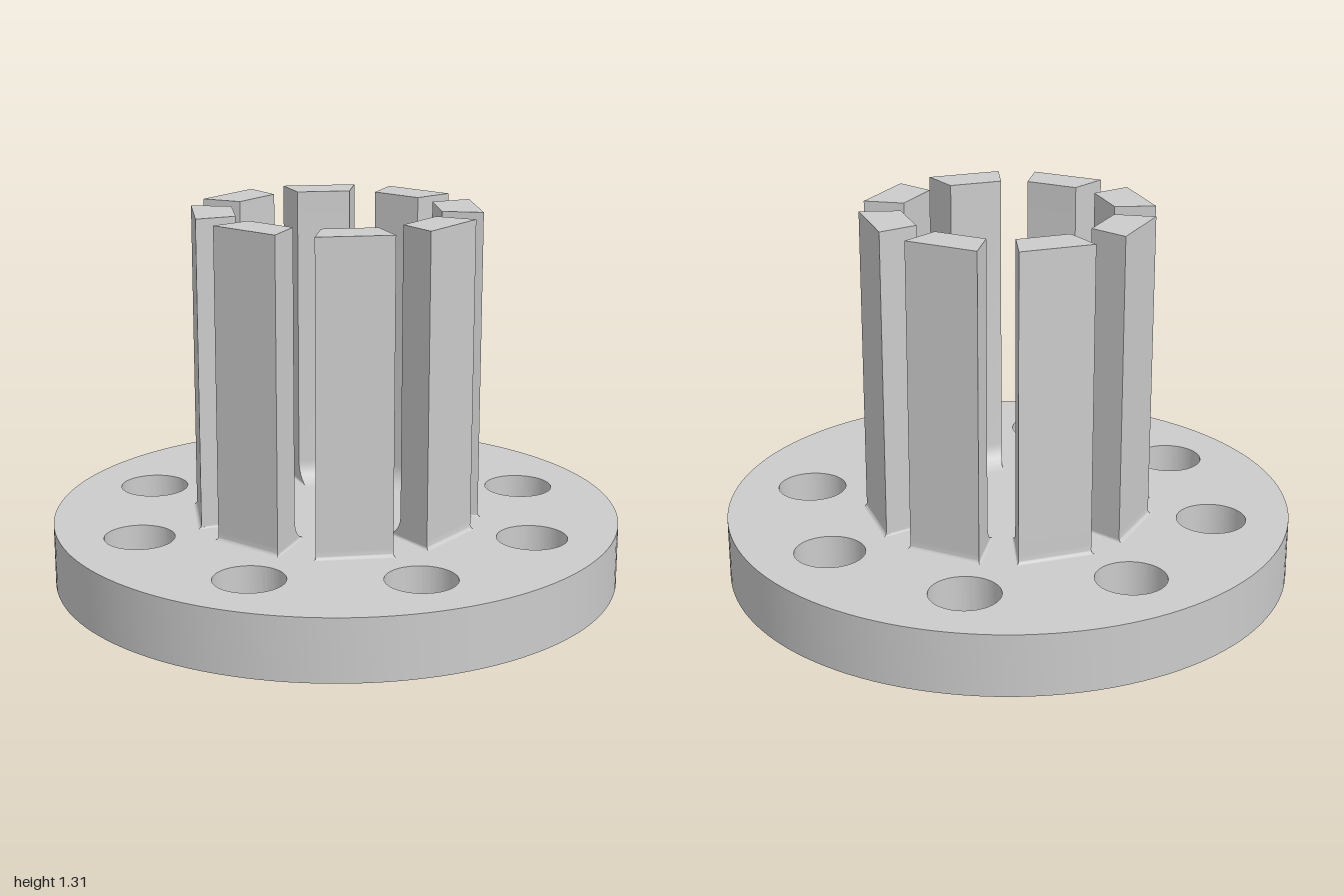
import * as THREE from 'three';
import { toCreasedNormals } from 'three/addons/utils/BufferGeometryUtils.js';

const BASE = 0.22, TOP = 1.312;
const R_OUT = 0.506, R_IN = 0.364, SPAN = Math.PI / 6;
const FILLET_IN = 0.08, FILLET_OUT = 0.015, FILLET_SIDE = 0.008;

// Sideways reach of a concave quarter-round fillet of radius r at height h
const flare = (r, h) => (h < r ? r - Math.sqrt(r * r - (r - h) ** 2) : 0);

// Disc with a ring of eight through holes
function baseGeometry() {
  const disc = new THREE.Shape().absarc(0, 0, 1, 0, Math.PI * 2);
  for (let i = 0; i < 8; i++) {
    const a = i * Math.PI / 4;
    const hole = new THREE.Path();
    hole.absarc(0.73 * Math.cos(a), 0.73 * Math.sin(a), 0.122, 0, Math.PI * 2, true);
    disc.holes.push(hole);
  }
  const g = new THREE.ExtrudeGeometry(disc, { depth: BASE, bevelEnabled: false, curveSegments: 64 });
  g.rotateX(-Math.PI / 2);
  return toCreasedNormals(g, 0.6);
}

// Trapezoid post lofted upward, flared into the disc by fillets
function postGeometry() {
  const heights = [0];
  for (const r of [FILLET_SIDE, FILLET_OUT, FILLET_IN]) {
    for (let k = 1; k <= 7; k++) heights.push(r * (1 - Math.cos(k * Math.PI / 14)));
  }
  heights.push(TOP - BASE);
  heights.sort((a, b) => a - b);

  const pos = [], idx = [];
  for (const h of heights) {
    const ro = R_OUT + flare(FILLET_OUT, h);
    const ri = R_IN - flare(FILLET_IN, h);
    const s = flare(FILLET_SIDE, h);
    for (const [r, a, t] of [[ro, 0, -s], [ro, SPAN, s], [ri, SPAN, s], [ri, 0, -s]]) {
      pos.push(r * Math.cos(a) - t * Math.sin(a), BASE + h, r * Math.sin(a) + t * Math.cos(a));
    }
  }
  const last = heights.length - 1;
  for (let l = 0; l < last; l++) {
    for (let i = 0; i < 4; i++) {
      const p = l * 4 + i, q = l * 4 + (i + 1) % 4;
      idx.push(p, p + 4, q, q, p + 4, q + 4);
    }
  }
  const c = last * 4;
  idx.push(c, c + 2, c + 1, c, c + 3, c + 2);

  const g = new THREE.BufferGeometry();
  g.setAttribute('position', new THREE.Float32BufferAttribute(pos, 3));
  g.setIndex(idx);
  return toCreasedNormals(g, 0.5);
}

export function createModel() {
  const model = new THREE.Group();
  model.name = 'flangedSlottedHub';
  const material = new THREE.MeshStandardMaterial({ color: 0xcccccc });

  const base = new THREE.Mesh(baseGeometry(), material);
  base.name = 'baseDisc';
  model.add(base);

  // Ring of eight posts
  const geometry = postGeometry();
  for (let i = 0; i < 8; i++) {
    const post = new THREE.Mesh(geometry, material);
    post.name = `post${i + 1}`;
    post.rotation.y = -i * Math.PI / 4;
    model.add(post);
  }
  return model;
}
